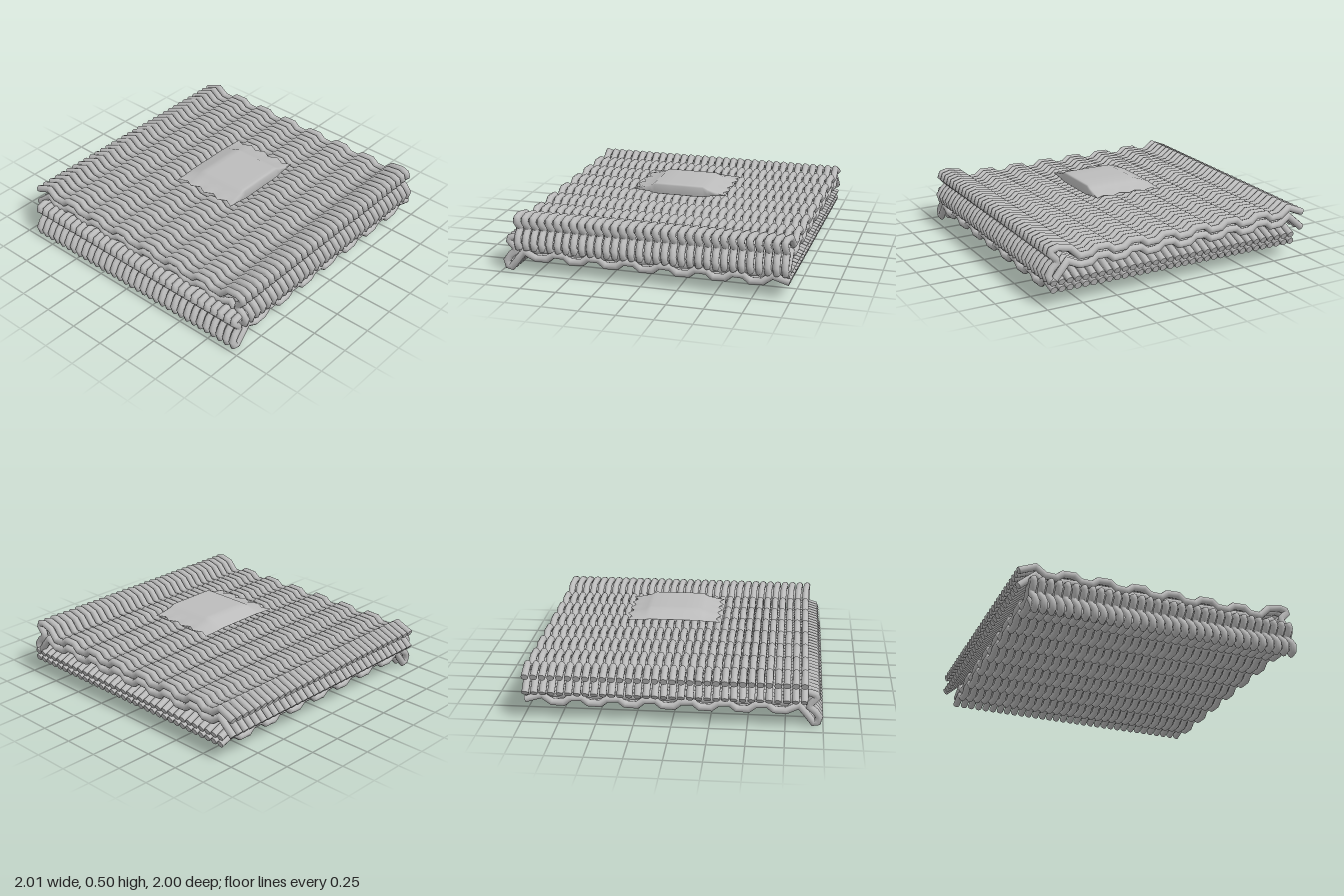
import * as THREE from 'three';

const STRANDS = 33, PITCH = 0.0575, RADIUS = 0.0245, SIDES = 10;

// Wavy run along x: flat-topped crests and troughs, trimmed at the free end
function wave(mean, endY) {
  const pts = [[-0.99, endY], [-0.875, mean + 0.032]];
  for (let k = 0; k < 7; k++) {
    const x = -0.77 + k * 0.2475;
    pts.push([x - 0.04, mean - 0.016], [x + 0.04, mean - 0.019]);
    if (k < 6) pts.push([x + 0.083, mean + 0.016], [x + 0.165, mean + 0.019]);
  }
  return pts;
}

// One noodle: outgoing wave, folded end, returning wave; third value is sideways drift
function noodlePath(returnEnd) {
  const out = wave(0.328, 0.312).map(([x, y]) => [x, y, 0]);
  const fold = [
    [0.82, 0.373, 0.004], [0.905, 0.388, 0.012], [0.945, 0.376, 0.015], [0.953, 0.353, 0.015],
    [0.915, 0.312, 0.014], [0.91, 0.285, 0.012], [0.945, 0.255, 0.01], [0.973, 0.215, 0.007],
    [0.962, 0.178, 0.005], [0.935, 0.173, 0.003], [0.895, 0.225, 0.001], [0.84, 0.29, 0],
  ];
  const back = wave(0.268, returnEnd).map(([x, y]) => [x, y, 0]).reverse();
  return [...out, ...fold, ...back];
}

// Sweep a circle along a path in the xy plane, with mitred joints and flat ends
function strandGeometry(path) {
  const pos = [], index = [], last = path.length - 1;
  const dir = (a, b) => new THREE.Vector2(b[0] - a[0], b[1] - a[1]).normalize();
  path.forEach((p, i) => {
    const d0 = dir(path[Math.max(i - 1, 0)], path[Math.max(i, 1)]);
    const d1 = dir(path[Math.min(i, last - 1)], path[Math.min(i + 1, last)]);
    const t = d0.clone().add(d1).normalize();
    const r = RADIUS * Math.min(1.25, 1 / Math.max(0.1, t.dot(d0)));
    for (let j = 0; j < SIDES; j++) {
      const a = (j / SIDES) * Math.PI * 2, n = Math.cos(a) * r;
      pos.push(p[0] - t.y * n, p[1] + t.x * n, p[2] + Math.sin(a) * RADIUS);
    }
  });
  for (let i = 0; i < last; i++) for (let j = 0; j < SIDES; j++) {
    const a = i * SIDES + j, b = i * SIDES + (j + 1) % SIDES;
    index.push(a, b, a + SIDES, b, b + SIDES, a + SIDES);
  }
  // End caps use their own vertices so their rims stay sharp
  for (const end of [0, last]) {
    const base = pos.length / 3;
    for (let j = 0; j < SIDES * 3; j++) pos.push(pos[end * SIDES * 3 + j]);
    for (let j = 1; j < SIDES - 1; j++) {
      if (end) index.push(base, base + j, base + j + 1);
      else index.push(base, base + j + 1, base + j);
    }
  }
  return finish(pos, index);
}

function finish(pos, index) {
  const g = new THREE.BufferGeometry();
  g.setAttribute('position', new THREE.Float32BufferAttribute(pos, 3));
  g.setIndex(index);
  g.computeVertexNormals();
  return g;
}

// Piecewise-linear lookup
function lookup(table, v) {
  for (let i = 1; i < table.length; i++) {
    const [a, ya] = table[i - 1], [b, yb] = table[i];
    if (v <= b) return ya + (yb - ya) * (v - a) / (b - a);
  }
  return table[table.length - 1][1];
}

// Puffy sachet with pinched, zigzag front and back seals
function sachetGeometry() {
  const across = [[-0.18, 0.03], [-0.06, 1], [0.285, 1], [0.304, 0.97], [0.315, 0.8]];
  const rows = [[-0.4, 0.002], [-0.33, 0.012], [-0.27, 0.024], [-0.235, 0.039], [-0.1, 0.039],
    [0.0, 0.039], [0.115, 0.039], [0.145, 0.024], [0.2, 0.012], [0.27, 0.002]];
  const xs = [];
  for (let i = 0; i <= 16; i++) xs.push(-0.18 + 0.495 * i / 16);
  xs.splice(16, 0, 0.304);
  const pos = [], index = [], n = xs.length, ring = n * 2;
  rows.forEach(([z, h], i) => {
    const edge = i === 0 ? 1 : i === rows.length - 1 ? -1 : 0;
    const midY = 0.454 + 0.01 * h / 0.039;
    const point = (x, s) => {
      const u = ((x + 0.18) / 0.495) * 8;
      const tooth = 1 - Math.abs((u % 2) - 1);
      const f = lookup(across, x);
      pos.push(x, midY + s * h * f - 0.008 * (1 - f), z + edge * 0.033 * tooth);
    };
    xs.forEach((x) => point(x, 1));
    [...xs].reverse().forEach((x) => point(x, -1));
  });
  for (let i = 0; i < rows.length - 1; i++) for (let j = 0; j < ring; j++) {
    const a = i * ring + j, b = i * ring + (j + 1) % ring;
    index.push(a, a + ring, b, b, a + ring, b + ring);
  }
  // Close both seal edges
  for (const end of [0, rows.length - 1]) for (let j = 0; j < n - 1; j++) {
    const o = end * ring, a = o + j, b = o + j + 1, c = o + ring - 1 - j, d = o + ring - 2 - j;
    if (end) index.push(a, c, b, b, c, d);
    else index.push(a, b, c, b, d, c);
  }
  return finish(pos, index);
}

export function createModel() {
  const model = new THREE.Group();
  model.name = 'noodleBlock';
  const grey = new THREE.MeshStandardMaterial({ color: 0xbcbcbc });
  grey.name = 'plain grey';

  // Upper layer runs along x and folds at +x
  const upperGeo = strandGeometry(noodlePath(0.2));
  // Lower layer is the same noodle a quarter turn round, folded at +z
  const lowerGeo = strandGeometry(noodlePath(0.265));
  lowerGeo.rotateY(-Math.PI / 2).translate(0, -0.148, 0);

  const upper = new THREE.Group(), lower = new THREE.Group();
  upper.name = 'upperNoodles';
  lower.name = 'lowerNoodles';
  for (let i = 0; i < STRANDS; i++) {
    const a = new THREE.Mesh(upperGeo, grey);
    a.name = 'upperStrand';
    a.position.z = -0.968 + i * PITCH;
    upper.add(a);
    const b = new THREE.Mesh(lowerGeo, grey);
    b.name = 'lowerStrand';
    b.position.x = -0.892 + i * PITCH;
    lower.add(b);
  }

  const sachet = new THREE.Mesh(sachetGeometry(), grey);
  sachet.name = 'seasoningSachet';
  model.add(upper, lower, sachet);
  return model;
}
